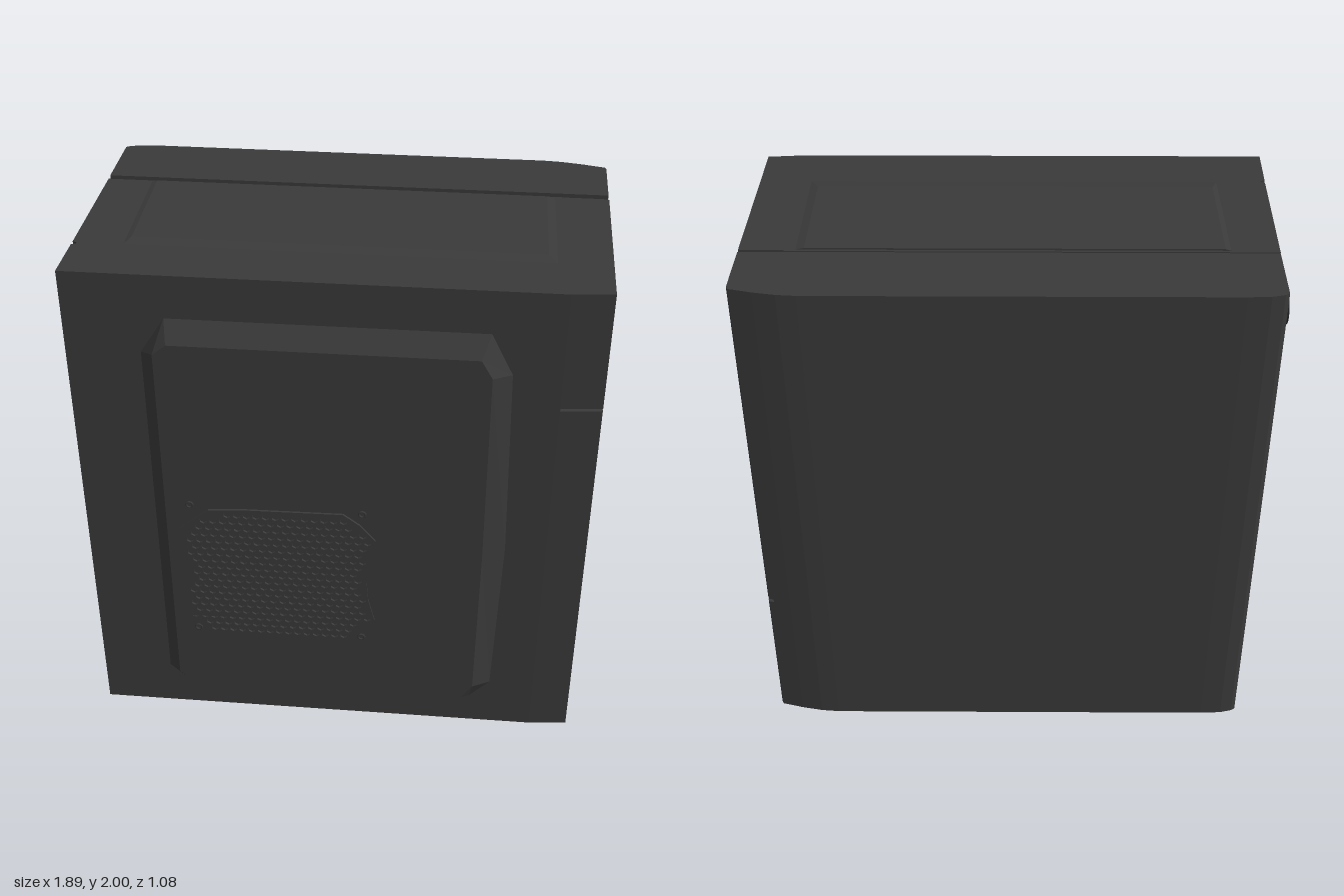
import * as THREE from 'three';

const body = new THREE.MeshStandardMaterial({ color: 0x3a3a3a });
body.name = 'charcoal';
const dark = new THREE.MeshStandardMaterial({ color: 0x242424 });
dark.name = 'dark slots';

const toShape = (pts) => new THREE.Shape(pts.map(([a, b]) => new THREE.Vector2(a, b)));

export function createModel() {
  const group = new THREE.Group();
  const add = (name, geometry, material = body) => {
    const mesh = new THREE.Mesh(geometry, material);
    mesh.name = name;
    group.add(mesh);
    return mesh;
  };
  const box = (name, x0, x1, y0, y1, z0, z1, material = body) =>
    add(name, new THREE.BoxGeometry(x1 - x0, y1 - y0, z1 - z0), material)
      .position.set((x0 + x1) / 2, (y0 + y1) / 2, (z0 + z1) / 2);

  // Upright slab from an (x, z) plan outline
  const slab = (name, plan, y0, y1) => {
    const g = new THREE.ExtrudeGeometry(toShape(plan.map(([x, z]) => [x, -z])), { depth: y1 - y0, bevelEnabled: false });
    add(name, g.rotateX(-Math.PI / 2).translate(0, y0, 0));
  };

  // Raised plate: sloping sides between two matching outlines, with a flat face
  const raised = (outer, inner, z0, z1) => {
    const pos = [];
    const n = outer.length;
    for (let i = 0; i < n; i++) {
      const j = (i + 1) % n;
      const a = [...outer[i], z0], b = [...outer[j], z0], c = [...inner[j], z1], d = [...inner[i], z1];
      pos.push(...a, ...b, ...c, ...a, ...c, ...d);
      if (i > 0 && i < n - 1) pos.push(...inner[0], z1, ...d, ...c);
    }
    const g = new THREE.BufferGeometry();
    g.setAttribute('position', new THREE.Float32BufferAttribute(pos, 3));
    g.computeVertexNormals();
    return g;
  };

  // Inner core seen at the bottom of every seam
  box('core', -0.915, 0.92, 0.01, 1.985, -0.48, 0.45);

  // Side cover with a vertical seam on its left edge
  slab('mainCover', [
    [-0.928, -0.24], [0.78, -0.24], [0.78, 0.48], [-0.947, 0.48],
    [-0.941, 0.287], [-0.925, 0.28], [-0.925, 0.272], [-0.94, 0.265],
  ], 0.005, 1.994);

  // Two door panels, parted by a level seam
  const doorPlan = [[0.78, -0.235], [0.937, -0.235], [0.927, 0.467], [0.78, 0.48]];
  slab('lowerDoor', doorPlan, 0.005, 1.531);
  slab('upperDoor', doorPlan, 1.542, 1.994);

  // Bowed far cover with softened corners
  slab('bowedCover', [
    [-0.925, -0.257], [-0.92, -0.515], [-0.905, -0.525], [-0.86, -0.536], [-0.78, -0.54],
    [0.7, -0.54], [0.77, -0.534], [0.85, -0.519], [0.915, -0.502], [0.915, -0.257],
  ], 0.005, 2);

  // Control strip, parted near the bottom
  const stripPlan = [[0.915, -0.257], [0.915, -0.502], [0.932, -0.498], [0.938, -0.485], [0.935, -0.257]];
  slab('lowerStrip', stripPlan, 0.005, 0.583);
  slab('controlStrip', stripPlan, 0.596, 2);

  // Shallow step on the top
  add('topStep', raised(
    [[-0.76, -0.27], [0.74, -0.27], [0.74, 0.23], [-0.76, 0.23]],
    [[-0.74, -0.22], [0.71, -0.22], [0.71, 0.23], [-0.74, 0.23]],
    1.994, 2).rotateX(-Math.PI / 2));

  // Raised window area of the front cover
  add('raisedPanel', raised(
    [[-0.68, 0.2], [-0.61, 0.135], [0.53, 0.135], [0.61, 0.22], [0.63, 0.9], [0.61, 1.67], [0.53, 1.83], [-0.59, 1.83], [-0.68, 1.69]],
    [[-0.63, 0.215], [-0.59, 0.175], [0.5, 0.175], [0.54, 0.235], [0.545, 0.9], [0.54, 1.68], [0.5, 1.75], [-0.58, 1.75], [-0.63, 1.71]],
    0.479, 0.529));

  // Fan grille: waisted outline pierced by a honeycomb
  const outline = [
    [-0.5, 0.45], [0.04, 0.45], [0.09, 0.49], [0.15, 0.56], [0.125, 0.66], [0.118, 0.75], [0.125, 0.85], [0.15, 0.95],
    [0.09, 1.02], [0.03, 1.065], [-0.35, 1.06], [-0.47, 1.05], [-0.58, 0.96], [-0.565, 0.85], [-0.56, 0.75], [-0.565, 0.65], [-0.585, 0.55],
  ];
  const grille = toShape(outline);
  const inside = (x, y) => {
    let hit = false;
    outline.forEach(([ax, ay], i) => {
      const [bx, by] = outline[(i + 1) % outline.length];
      if ((ay > y) !== (by > y) && x < ax + (y - ay) * (bx - ax) / (by - ay)) hit = !hit;
    });
    return hit;
  };
  const ring = (x, y, r, n) => Array.from({ length: n }, (_, k) => {
    const t = Math.PI * (2 * k / n + 1 / n * 3);
    return [x + r * Math.cos(t), y + r * Math.sin(t)];
  });
  const pitch = 0.036;
  for (let row = 0; row < 20; row++) {
    for (let col = 0; col < 21; col++) {
      const x = -0.58 + (col + (row % 2) / 2) * pitch;
      const y = 0.472 + row * pitch * 0.866;
      if (ring(x, y, 0.021, 6).every(([px, py]) => inside(px, py))) {
        grille.holes.push(new THREE.Path(ring(x, y, 0.0145, 6).map(([px, py]) => new THREE.Vector2(px, py))));
      }
    }
  }
  add('fanGrille', new THREE.ExtrudeGeometry(grille, { depth: 0.012, bevelEnabled: false }).translate(0, 0, 0.525));

  // Screw rings around the fan
  for (const x of [-0.538, 0.1]) {
    for (const y of [0.465, 1.068]) {
      add('fanScrew', new THREE.TorusGeometry(0.012, 0.004, 6, 16)).position.set(x, y, 0.531);
    }
  }

  // Round buttons on both narrow ends
  for (const [name, x] of [['powerButton', 0.935], ['rearKnob', -0.925]]) {
    const r = x > 0 ? 0.058 : 0.05;
    const button = add(name, new THREE.CylinderGeometry(r, r, x > 0 ? 0.02 : 0.04, 32));
    button.rotation.z = Math.PI / 2;
    button.position.set(x, 1.85, -0.375);
    const rim = add(name + 'Rim', new THREE.TorusGeometry(r, 0.003, 6, 32), dark);
    rim.rotation.y = Math.PI / 2;
    rim.position.set(x > 0 ? 0.943 : -0.943, 1.85, -0.375);
  }

  // Ports and lights on the control strip: [name, y, z, height, width]
  for (const [name, y, z, h, w] of [
    ['resetButton', 1.66, -0.39, 0.04, 0.012], ['audioJack', 1.535, -0.375, 0.018, 0.022],
    ['audioJack', 1.445, -0.375, 0.018, 0.022], ['usbPort', 1.345, -0.375, 0.024, 0.085],
    ['usbPort', 1.24, -0.375, 0.024, 0.085], ['cardSlot', 0.955, -0.38, 0.15, 0.012],
  ]) {
    box(name, 0.933, 0.9395, y - h / 2, y + h / 2, z - w / 2, z + w / 2, dark);
  }

  return group;
}
